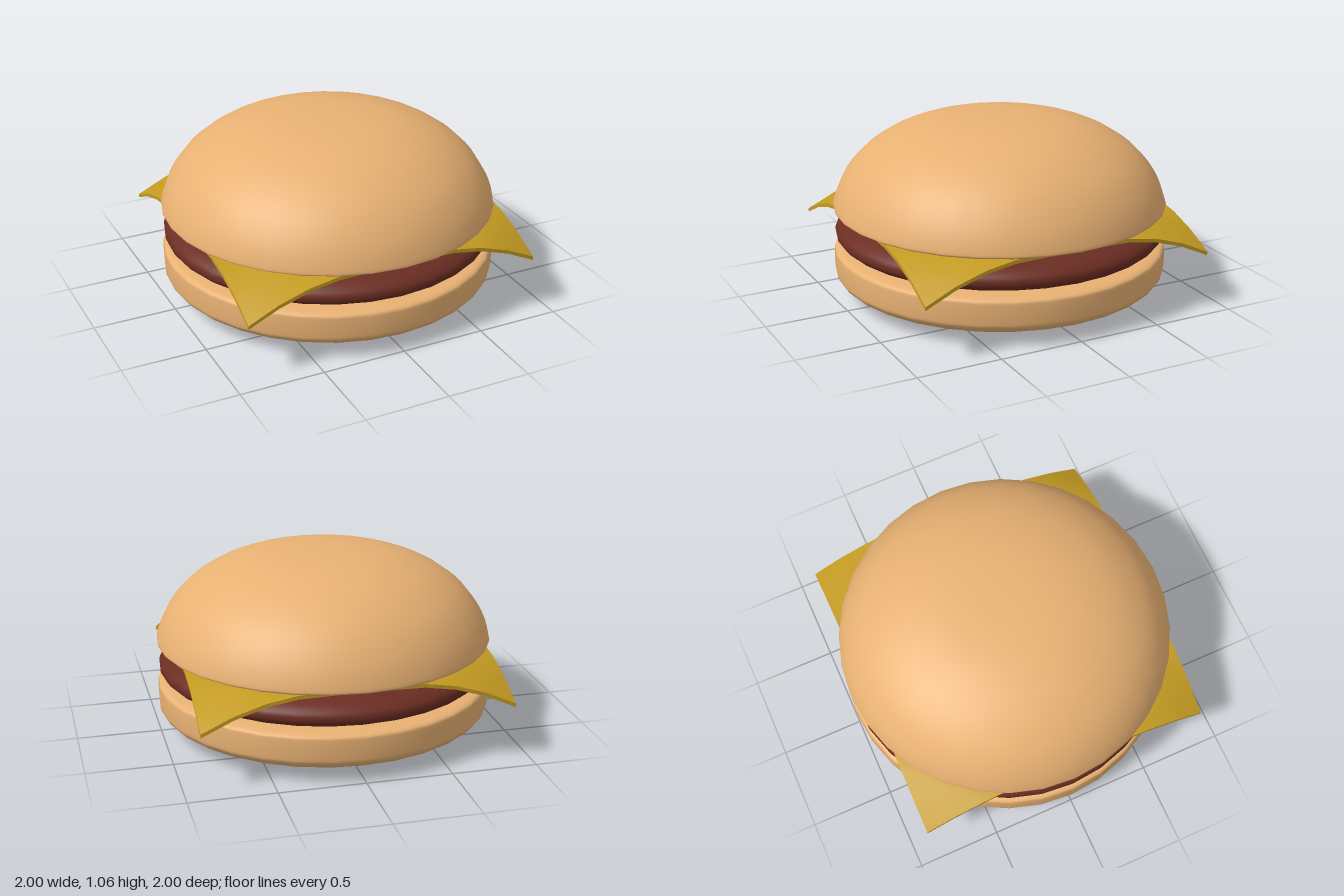
import * as THREE from 'three';

const SIDES = 32;
const bunMaterial = new THREE.MeshStandardMaterial({ color: 0xe8b173 });
const pattyMaterial = new THREE.MeshStandardMaterial({ color: 0x6b2d22 });
const cheeseMaterial = new THREE.MeshStandardMaterial({ color: 0xc49b22 });

// Turns a smooth [radius, height] profile, listed from bottom to top
function turned(name, profile, material, steps = 36) {
  const curve = new THREE.SplineCurve(profile.map(([r, y]) => new THREE.Vector2(r, y)));
  const points = curve.getPoints(steps);
  points.forEach((p) => { p.x = Math.max(0, p.x); });
  const mesh = new THREE.Mesh(new THREE.LatheGeometry(points, SIDES), material);
  mesh.name = name;
  return mesh;
}

// Thin square slice whose corners sag past the rim of the patty
function cheeseSlice() {
  const geometry = new THREE.BoxGeometry(1.8, 0.022, 1.8, 10, 1, 10);
  const pos = geometry.attributes.position;
  for (let i = 0; i < pos.count; i++) {
    const overhang = Math.max(0, Math.hypot(pos.getX(i), pos.getZ(i)) - 0.95);
    pos.setY(i, pos.getY(i) + 0.508 - 0.85 * Math.pow(overhang, 1.4));
  }
  geometry.computeVertexNormals();
  const mesh = new THREE.Mesh(geometry, cheeseMaterial);
  mesh.name = 'cheeseSlice';
  return mesh;
}

export function createModel() {
  const burger = new THREE.Group();
  burger.name = 'burger';

  // Flat-bottomed lower bun with rounded edges
  burger.add(turned('bottomBun', [
    [0, 0], [0.3, 0.003], [0.6, 0.018], [0.82, 0.045], [0.94, 0.08], [0.99, 0.12],
    [1, 0.16], [1, 0.25], [0.99, 0.282], [0.94, 0.295], [0.82, 0.301], [0.5, 0.303], [0, 0.303],
  ], bunMaterial, 48));

  // Bulging patty
  burger.add(turned('patty', [
    [0, 0.3], [0.5, 0.3], [0.82, 0.302], [0.93, 0.322], [0.98, 0.355], [0.99, 0.387],
    [0.975, 0.42], [0.92, 0.455], [0.8, 0.485], [0.5, 0.498], [0, 0.498],
  ], pattyMaterial));

  burger.add(cheeseSlice());

  // Domed upper bun
  burger.add(turned('topBun', [
    [0, 0.505], [0.5, 0.505], [0.8, 0.508], [0.94, 0.516], [0.99, 0.53], [0.998, 0.555],
    [0.96, 0.66], [0.89, 0.77], [0.8, 0.86], [0.67, 0.945], [0.52, 1.005], [0.36, 1.042],
    [0.18, 1.059], [0, 1.063],
  ], bunMaterial, 52));

  return burger;
}
